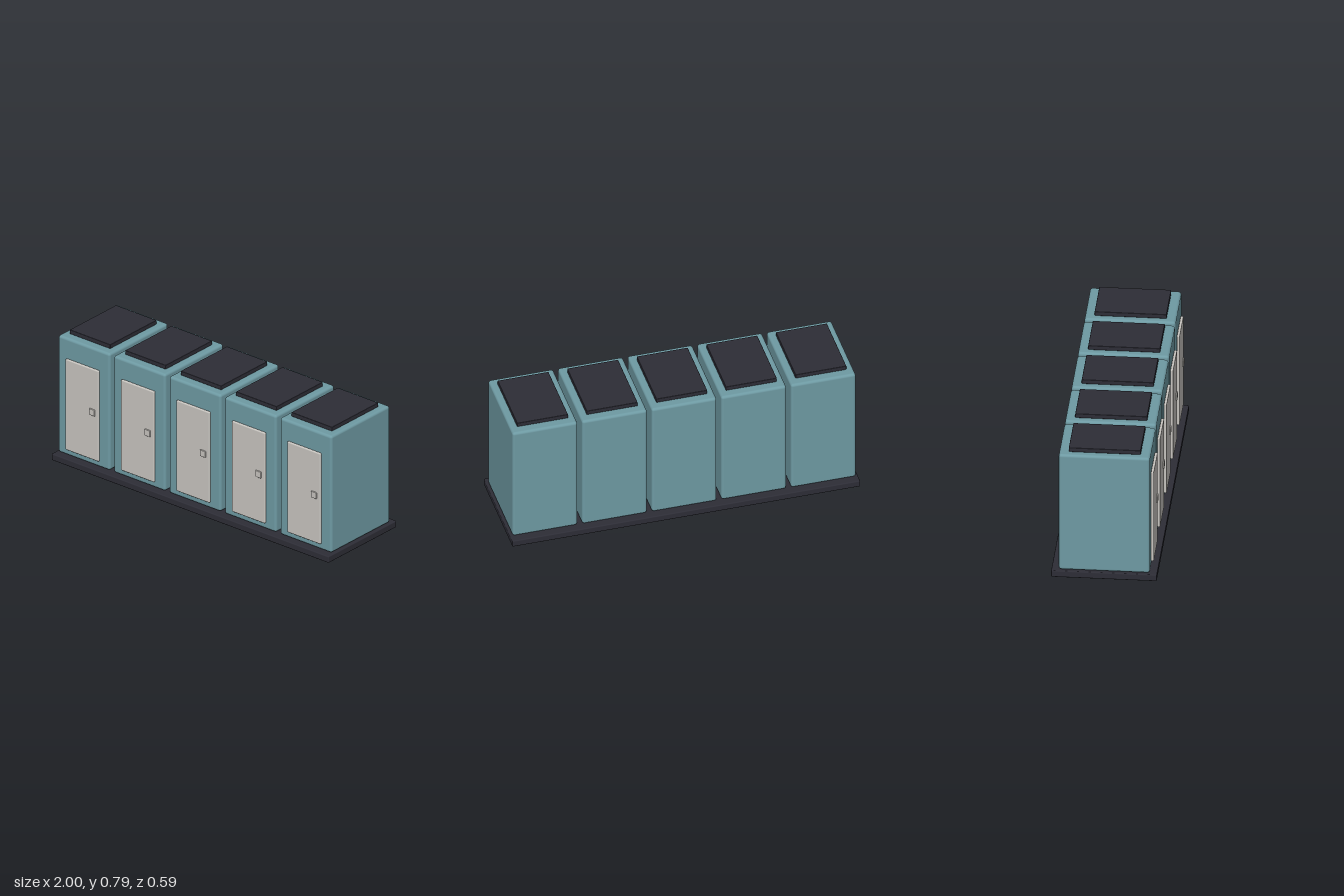
import * as THREE from 'three';
import { RoundedBoxGeometry } from 'three/addons/geometries/RoundedBoxGeometry.js';

const material = (name, color) => {
  const m = new THREE.MeshStandardMaterial({ color });
  m.name = name;
  return m;
};

// Rounded box given by its centre x, bottom y, centre z and size
function block(name, mat, [w, h, d], [x, y, z], radius) {
  const mesh = new THREE.Mesh(new RoundedBoxGeometry(w, h, d, 3, radius), mat);
  mesh.name = name;
  mesh.position.set(x, y + h / 2, z);
  return mesh;
}

export function createModel() {
  const teal = material('teal paint', 0x6e9aa3);
  const dark = material('dark charcoal', 0x2d2d36);
  const grey = material('warm light grey', 0xc8c5c0);

  const model = new THREE.Group();
  model.name = 'cabinetRow';

  // Shared plinth
  model.add(block('base', dark, [2, 0.04, 0.587], [0, 0, 0], 0.006));

  // Five identical cabinets
  for (let i = 0; i < 5; i++) {
    const cabinet = new THREE.Group();
    cabinet.name = `cabinet${i + 1}`;
    cabinet.position.x = (i - 2) * 0.4;
    cabinet.add(
      block('body', teal, [0.373, 0.72, 0.506], [0, 0.041, 0], 0.015),
      block('door', grey, [0.24, 0.56, 0.016], [0, 0.081, 0.262], 0.007),
      block('handle', grey, [0.04, 0.04, 0.014], [0.076, 0.355, 0.27], 0.004),
      block('roofCap', dark, [0.293, 0.026, 0.4], [0, 0.761, 0], 0.004)
    );
    model.add(cabinet);
  }
  return model;
}
